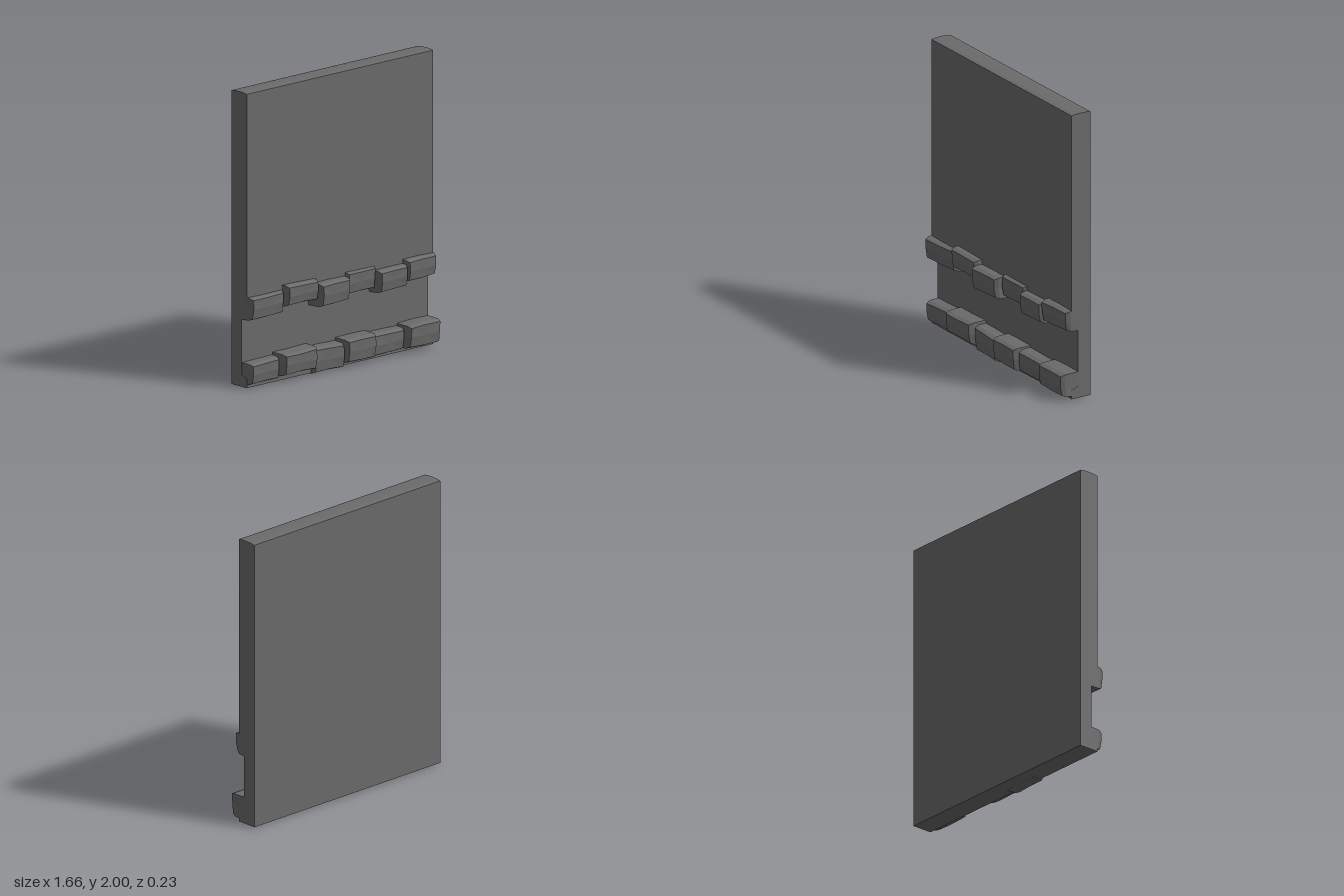
import * as THREE from 'three';

const HALF = 0.83;   // half the wall width
const BACK = -0.117, FACE = 0.03, RECESS = -0.02;

// Small seeded generator for the uneven stone edges
function makeRandom(seed) {
  let s = seed;
  return () => {
    s = (s * 16807) % 2147483647;
    return s / 2147483647 - 0.5;
  };
}

// Rough block: eight-point outlines lofted from the recess to a bevelled face
function stoneGeometry([x0, x1, y0, y1, zl, zr], rnd) {
  const w = x1 - x0, h = y1 - y0;
  const outline = [[0, 0], [0.55, 0], [1, 0], [1, 0.5], [1, 1], [0.45, 1], [0, 1], [0, 0.5]];
  const wobble = outline.map(() => [rnd() * 0.008, rnd() * 0.008]);
  const ring = (inset, bevel, back) => outline.map(([u, v], i) => {
    const front = zl + (zr - zl) * u - bevel;
    const x = x0 + inset + u * (w - 2 * inset) + wobble[i][0];
    const y = y0 + inset + v * (h - 2 * inset) + wobble[i][1];
    return [
      THREE.MathUtils.clamp(x, -HALF, HALF),
      Math.max(y, 0),
      back ?? front - (v === 0 ? 0.012 : 0),
    ];
  });
  const rings = [ring(0, 0, RECESS - 0.01), ring(0.002, 0.03), ring(0.014, 0)];
  const pos = [];
  const n = outline.length;
  for (let r = 0; r < 2; r++) {
    for (let i = 0; i < n; i++) {
      const j = (i + 1) % n;
      const a = rings[r][i], b = rings[r][j], c = rings[r + 1][j], d = rings[r + 1][i];
      pos.push(...a, ...b, ...c, ...a, ...c, ...d);
    }
  }
  const cap = rings[2];
  const mid = [(x0 + x1) / 2, (y0 + y1) / 2, (zl + zr) / 2 - 0.003];
  for (let i = 0; i < n; i++) pos.push(...mid, ...cap[i], ...cap[(i + 1) % n]);
  const g = new THREE.BufferGeometry();
  g.setAttribute('position', new THREE.Float32BufferAttribute(pos, 3));
  g.computeVertexNormals();
  return g;
}

export function createModel() {
  const model = new THREE.Group();
  model.name = 'stoneTrimmedWall';
  const stoneGrey = new THREE.MeshStandardMaterial({ color: 0x6b6b6b });
  stoneGrey.name = 'stoneGrey';

  // Wall slab: side profile (z, y) with a recessed band and a faintly arched top
  const profile = [
    [BACK, 0.008], [FACE, 0.008], [FACE, 0.07], [RECESS, 0.09],
    [RECESS, 0.53], [FACE, 0.55], [FACE, 1.994], [0.0, 1.999],
    [-0.043, 2], [-0.087, 1.999], [BACK, 1.994],
  ];
  const shape = new THREE.Shape(profile.map(([z, y]) => new THREE.Vector2(-z, y)));
  const slab = new THREE.ExtrudeGeometry(shape, { depth: 2 * HALF, bevelEnabled: false });
  slab.translate(0, 0, -HALF).rotateY(Math.PI / 2);
  const wall = new THREE.Mesh(slab, stoneGrey);
  wall.name = 'wallSlab';
  model.add(wall);

  // Stone courses: x range, y range, face depth at the two ends
  const courses = {
    upperCourse: [
      [-0.83, -0.52, 0.462, 0.618, 0.083, 0.062],
      [-0.515, -0.23, 0.503, 0.647, 0.088, 0.085],
      [-0.235, 0.035, 0.456, 0.612, 0.116, 0.102],
      [0.04, 0.305, 0.478, 0.634, 0.06, 0.055],
      [0.305, 0.555, 0.45, 0.603, 0.096, 0.096],
      [0.555, 0.83, 0.477, 0.63, 0.092, 0.072],
    ],
    lowerCourse: [
      [-0.83, -0.56, 0.026, 0.175, 0.078, 0.066],
      [-0.555, -0.262, 0.045, 0.196, 0.106, 0.106],
      [-0.262, 0, 0.004, 0.175, 0.072, 0.085],
      [0.003, 0.265, 0.03, 0.193, 0.106, 0.106],
      [0.262, 0.547, 0.026, 0.175, 0.078, 0.07],
      [0.55, 0.83, 0.03, 0.19, 0.11, 0.11],
    ],
  };
  const rnd = makeRandom(4217);
  for (const [name, stones] of Object.entries(courses)) {
    const course = new THREE.Group();
    course.name = name;
    stones.forEach((s, i) => {
      const stone = new THREE.Mesh(stoneGeometry(s, rnd), stoneGrey);
      stone.name = `stone${i + 1}`;
      course.add(stone);
    });
    model.add(course);
  }
  return model;
}
